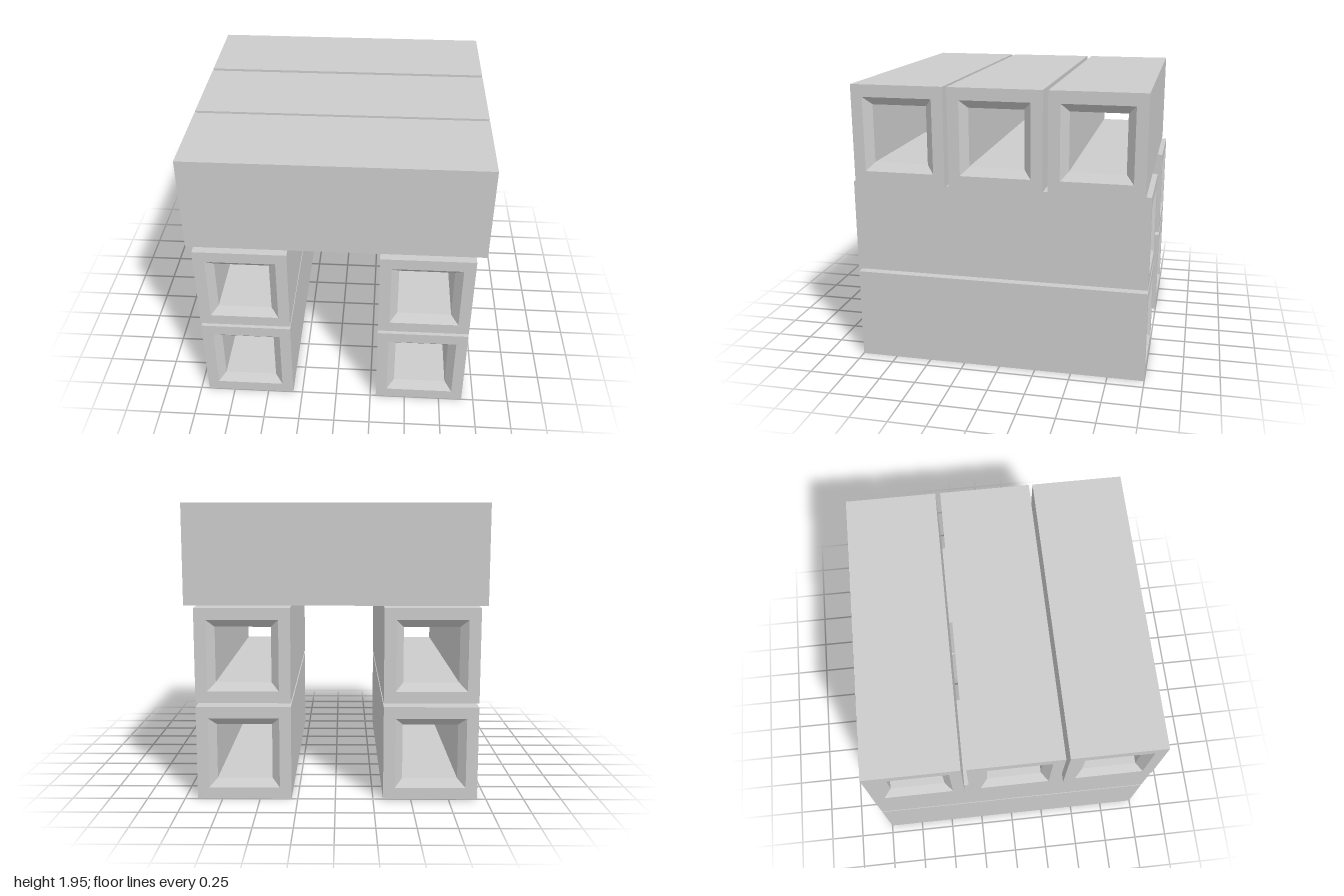
import * as THREE from 'three';

const material = new THREE.MeshStandardMaterial({ color: 0xcccccc, flatShading: true });

// Square hollow beam along z: a closed wall profile turned in four steps,
// with a chamfer around the opening at both ends.
function beamGeometry(width, height, length) {
  const h = length / 2, depth = 0.05;
  const outer = 0.5, lip = 0.376, bore = 0.294;
  const profile = [
    [lip, -h], [outer, -h], [outer, h], [lip, h],
    [bore, h - depth], [bore, -h + depth], [lip, -h],
  ].map(([r, y]) => new THREE.Vector2(r * Math.SQRT2, y));
  const lathe = new THREE.LatheGeometry(profile, 4, Math.PI / 4);
  lathe.rotateX(Math.PI / 2);
  lathe.scale(width, height, 1);
  const geometry = lathe.toNonIndexed();
  geometry.computeVertexNormals();
  return geometry;
}

export function createModel() {
  const group = new THREE.Group();
  const add = (name, geometry, x, y, z) => {
    const mesh = new THREE.Mesh(geometry, material);
    mesh.name = name;
    mesh.position.set(x, y, z);
    group.add(mesh);
  };

  // Two stacked beams on each side, running front to back
  const support = beamGeometry(0.624, 0.627, 2);
  for (const [side, x] of [['right', -0.629], ['left', 0.603]]) {
    add(side + 'LowerBeam', support, x, 0.314, 0);
    add(side + 'UpperBeam', support, x, 0.966, 0);
  }

  // Three beams across the top, running side to side
  const top = beamGeometry(0.621, 0.657, 1.975).rotateY(Math.PI / 2);
  for (const [name, z] of [['front', 0.647], ['middle', -0.001], ['back', -0.656]]) {
    add(name + 'TopBeam', top, -0.003, 1.619, z);
  }
  return group;
}
